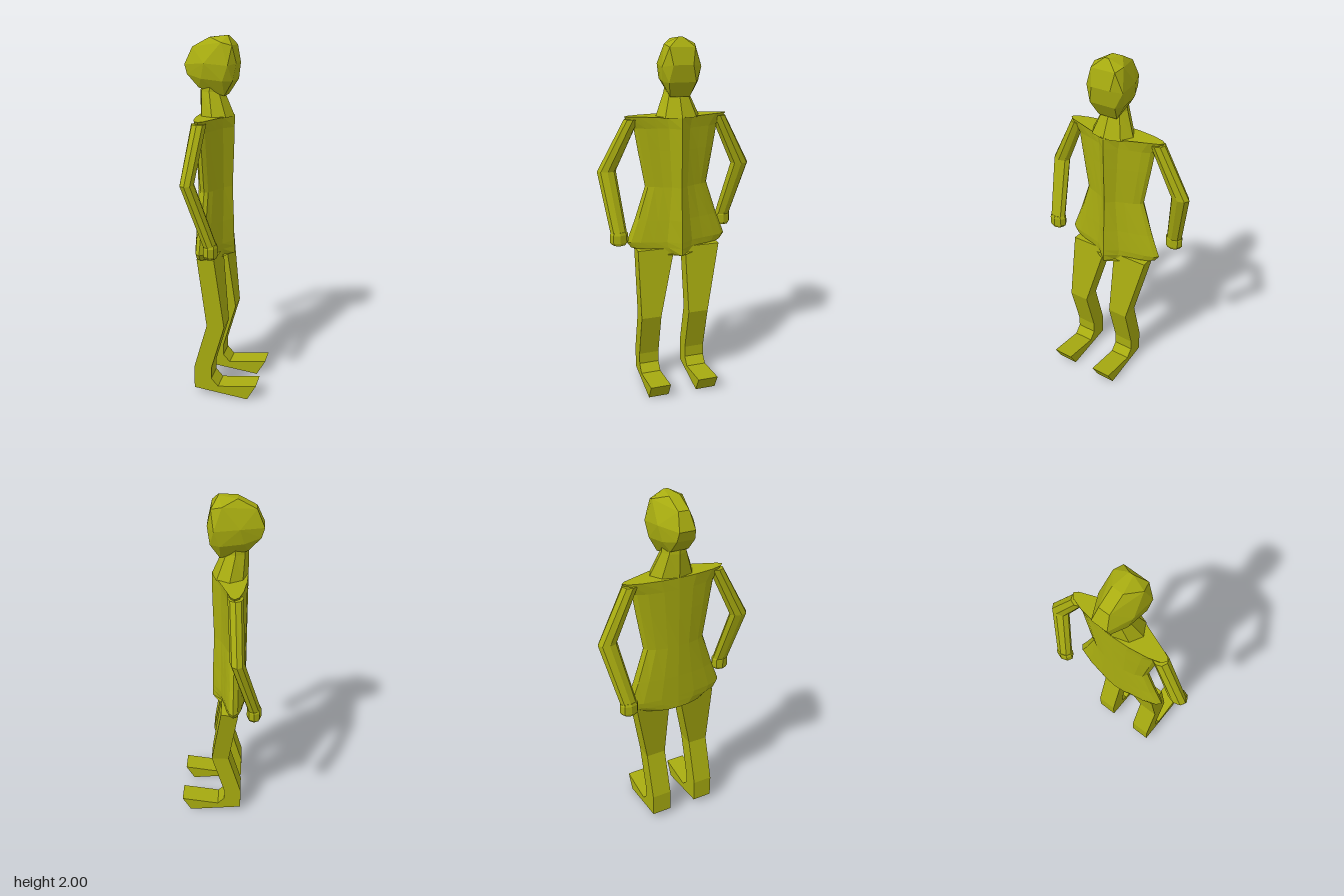
import * as THREE from 'three';
import { ConvexGeometry } from 'three/addons/geometries/ConvexGeometry.js';

const olive = new THREE.MeshStandardMaterial({ color: 0xa8ac10, flatShading: true });

function part(name, geometry) {
  const mesh = new THREE.Mesh(geometry, olive);
  mesh.name = name;
  return mesh;
}

// Skin closed rings of points, listed bottom to top, each running from +x to +z
function loft(rings) {
  const n = rings[0].length, index = [];
  for (let i = 0; i < rings.length - 1; i++) {
    for (let j = 0; j < n; j++) {
      const k = (j + 1) % n;
      const a = i * n + j, b = i * n + k, c = b + n, d = a + n;
      index.push(a, d, c, a, c, b);
    }
  }
  const top = (rings.length - 1) * n;
  for (let j = 1; j < n - 1; j++) {
    index.push(0, j, j + 1);
    index.push(top, top + j + 1, top + j);
  }
  const g = new THREE.BufferGeometry();
  g.setAttribute('position', new THREE.Float32BufferAttribute(rings.flat(2), 3));
  g.setIndex(index);
  g.computeVertexNormals();
  return g;
}

function oval(x, y, z, rx, rz, sides = 8) {
  return Array.from({ length: sides }, (_, i) => {
    const a = (i / sides) * Math.PI * 2;
    return [x + rx * Math.cos(a), y, z + rz * Math.sin(a)];
  });
}

const rect = (x0, x1, y, z0, z1) => [[x1, y, z0], [x1, y, z1], [x0, y, z1], [x0, y, z0]];

// Coat section: ridge down the chest, narrow sides, flat back
function coatRing([y, half, ridge]) {
  const side = [[-0.005, 0.25], [-0.025, 0.5], [-0.042, 0.75], [-0.06, 0.93], [-0.08, 1],
    [-0.105, 0.92], [-0.125, 0.7], [-0.14, 0.35]];
  return [
    [ridge, y, 0],
    ...side.map(([x, t]) => [x, y, t * half]),
    [-0.145, y, 0],
    ...side.slice().reverse().map(([x, t]) => [x, y, -t * half]),
  ];
}

function makeLeg(name, z0, z1, hip0, hip1) {
  const leg = new THREE.Group();
  leg.name = name;
  // Shin and foot share one side outline
  const outline = [[-0.13, 0.035], [0.18, 0], [0.23, 0.09], [0.01, 0.06], [-0.03, 0.105],
    [-0.03, 0.17], [0.045, 0.435], [-0.055, 0.435], [-0.13, 0.17]];
  const shape = new THREE.Shape(outline.map(([x, y]) => new THREE.Vector2(x, y)));
  const shin = new THREE.ExtrudeGeometry(shape, { depth: z1 - z0, bevelEnabled: false });
  shin.translate(0, 0, z0);
  leg.add(part('shinAndFoot', shin));
  leg.add(part('thigh', loft([
    rect(-0.055, 0.045, 0.435, z0, z1),
    rect(-0.108, -0.012, 0.83, hip0, hip1),
  ])));
  return leg;
}

function makeArm(name, s, elbowX, handX, handZ) {
  const arm = new THREE.Group();
  arm.name = name;
  arm.add(part('sleeve', loft([
    oval(handX, 0.95, s * handZ, 0.036, 0.046),
    oval(elbowX, 1.285, s * 0.392, 0.037, 0.053),
    oval(-0.085, 1.57, s * 0.25, 0.04, 0.042),
  ])));
  arm.add(part('hand', loft([
    oval(handX, 0.89, s * handZ, 0.034, 0.04),
    oval(handX, 0.905, s * handZ, 0.039, 0.052),
    oval(handX, 0.95, s * handZ, 0.039, 0.052),
    oval(handX, 0.965, s * handZ, 0.034, 0.042),
  ])));
  return arm;
}

export function createModel() {
  const model = new THREE.Group();
  model.name = 'standingFigure';

  // Coat: height, half width, ridge position
  model.add(part('coat', loft([
    [0.795, 0.18, 0.045], [0.835, 0.27, 0.045], [0.87, 0.295, 0.045], [1.0, 0.245, 0.042],
    [1.19, 0.182, 0.035], [1.4, 0.22, 0.042], [1.52, 0.24, 0.045], [1.585, 0.292, 0.045],
  ].map(coatRing))));

  // Neck, flaring into the collar
  model.add(part('neck', loft([
    oval(-0.05, 1.58, 0, 0.095, 0.125),
    oval(-0.078, 1.71, 0, 0.067, 0.07),
    oval(-0.075, 1.78, 0, 0.06, 0.06),
  ])));

  // Faceted head: x, y, half width
  const skull = [
    [-0.22, 1.85, 0.045], [-0.205, 1.8, 0.05], [-0.18, 1.94, 0.03], [-0.14, 1.73, 0.05],
    [-0.085, 1.99, 0.03], [0.01, 2.0, 0.012], [-0.01, 1.965, 0.085], [0.045, 1.95, 0.07],
    [0.065, 1.86, 0.055], [0.03, 1.85, 0.108], [0.05, 1.77, 0.075], [0.0, 1.77, 0.1],
    [0.0, 1.69, 0.055], [-0.1, 1.86, 0.1], [-0.12, 1.78, 0.085],
  ];
  const points = skull.flatMap(([x, y, z]) => [-z, z].map((v) => new THREE.Vector3(x, y, v)));
  model.add(part('head', new ConvexGeometry(points)));

  // Arms bend out at the elbow, one hand forward and one back
  model.add(makeArm('frontArm', 1, -0.11, 0, 0.355));
  model.add(makeArm('rearArm', -1, -0.1, -0.193, 0.325));

  // Legs
  model.add(makeLeg('frontLeg', 0.128, 0.245, 0.03, 0.245));
  model.add(makeLeg('rearLeg', -0.157, -0.04, -0.24, -0.035));

  return model;
}
